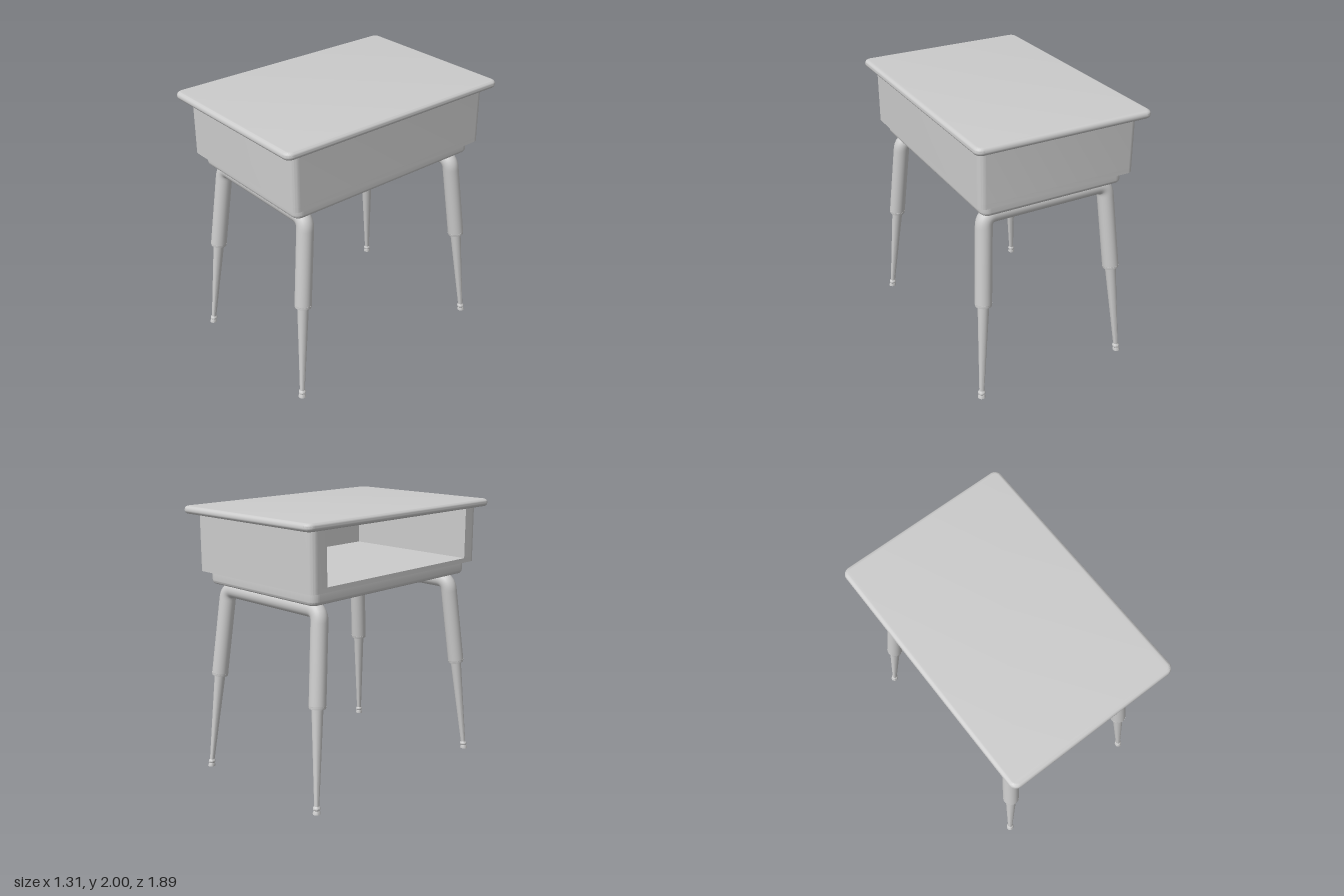
import * as THREE from 'three';
import { toCreasedNormals } from 'three/addons/utils/BufferGeometryUtils.js';

const material = new THREE.MeshStandardMaterial({ color: 0xcccccc });

function addMesh(parent, name, geometry) {
  const mesh = new THREE.Mesh(geometry, material);
  mesh.name = name;
  parent.add(mesh);
  return mesh;
}

// Rounded rectangle with half sizes w, d and corner radius r
function roundedRect(w, d, r, Type = THREE.Shape) {
  const s = new Type();
  s.absarc(w - r, d - r, r, 0, Math.PI / 2);
  s.absarc(-w + r, d - r, r, Math.PI / 2, Math.PI);
  s.absarc(-w + r, -d + r, r, Math.PI, Math.PI * 1.5);
  s.absarc(w - r, -d + r, r, Math.PI * 1.5, Math.PI * 2);
  s.closePath();
  return s;
}

// Extrude a plan shape upward from y0 to y1, with an optional rounded edge
function slab(shape, y0, y1, bevel = 0) {
  const g = new THREE.ExtrudeGeometry(shape, {
    depth: y1 - y0 - 2 * bevel,
    curveSegments: 8,
    bevelEnabled: bevel > 0,
    bevelThickness: bevel,
    bevelSize: bevel,
    bevelOffset: -bevel,
    bevelSegments: 6,
  });
  g.rotateX(-Math.PI / 2).translate(0, y0 + bevel, 0);
  return toCreasedNormals(g, 0.6);
}

export function createModel() {
  const desk = new THREE.Group();
  desk.name = 'schoolDesk';

  addMesh(desk, 'deskTop', slab(roundedRect(0.655, 0.943, 0.055), 1.945, 2, 0.027));

  // Storage box: floor plus U-shaped wall, open on the -x side
  const box = new THREE.Group();
  box.name = 'storageBox';
  desk.add(box);
  const W = 0.593, D = 0.857, R = 0.05, openZ = 0.725, backX = 0.5;
  addMesh(box, 'boxFloor', slab(roundedRect(W, D, R), 1.53, 1.565));
  const wall = new THREE.Shape();
  wall.absarc(W - R, D - R, R, 0, Math.PI / 2);
  wall.absarc(-W + R, D - R, R, Math.PI / 2, Math.PI);
  wall.lineTo(-W, openZ);
  wall.lineTo(backX, openZ);
  wall.lineTo(backX, -openZ);
  wall.lineTo(-W, -openZ);
  wall.absarc(-W + R, -D + R, R, Math.PI, Math.PI * 1.5);
  wall.absarc(W - R, -D + R, R, Math.PI * 1.5, Math.PI * 2);
  wall.closePath();
  addMesh(box, 'boxWall', slab(wall, 1.565, 1.95));

  // Rectangular support rail under the box
  const rail = roundedRect(0.545, 0.805, 0.06);
  rail.holes.push(roundedRect(0.435, 0.695, 0.035, THREE.Path));
  addMesh(desk, 'supportRail', slab(rail, 1.435, 1.555, 0.03));

  // Tapered lower leg with a flared glide: radius, height
  const profile = [
    [0, 0], [0.027, 0], [0.027, 0.008], [0.02, 0.026], [0.026, 0.034],
    [0.026, 0.044], [0.018, 0.056], [0.041, 0.74], [0, 0.74],
  ].map(([r, y]) => new THREE.Vector2(r, y));

  for (const end of [1, -1]) {
    const legs = new THREE.Group();
    legs.name = end > 0 ? 'frontLegs' : 'backLegs';
    desk.add(legs);

    // Bent tube: sleeve, bend, cross bar, bend, sleeve
    const p = (x, y, z) => new THREE.Vector3(x, y, z * end);
    const path = new THREE.CurvePath();
    const corner = [p(0.484, 1.31, 0.692), p(0.479, 1.388, 0.683), p(0.4, 1.388, 0.683)];
    const mirrored = corner.map((v) => new THREE.Vector3(-v.x, v.y, v.z)).reverse();
    const foot = [p(0.525, 0.74, 0.755), p(-0.525, 0.74, 0.755)];
    path.add(new THREE.LineCurve3(foot[0], corner[0]));
    path.add(new THREE.QuadraticBezierCurve3(...corner));
    path.add(new THREE.LineCurve3(corner[2], mirrored[0]));
    path.add(new THREE.QuadraticBezierCurve3(...mirrored));
    path.add(new THREE.LineCurve3(mirrored[2], foot[1]));
    addMesh(legs, 'legFrame', new THREE.TubeGeometry(path, 120, 0.06, 24));

    for (const side of [1, -1]) {
      // Collar closing the sleeve end
      const collar = addMesh(legs, 'sleeveCollar', new THREE.CylinderGeometry(0.061, 0.058, 0.02, 24));
      collar.position.set(0.525 * side, 0.74, 0.755 * end);
      const axis = new THREE.Vector3(-0.041 * side, 0.57, -0.063 * end).normalize();
      collar.quaternion.setFromUnitVectors(new THREE.Vector3(0, 1, 0), axis);

      // Slanted so that the glide stays level on the floor
      const g = toCreasedNormals(new THREE.LatheGeometry(profile, 24), 0.6);
      const slant = new THREE.Matrix4().set(
        1, -0.078 * side, 0, 0.582 * side,
        0, 1, 0, 0,
        0, -0.095 * end, 1, 0.825 * end,
        0, 0, 0, 1);
      addMesh(legs, 'lowerLeg', g.applyMatrix4(slant));
    }
  }
  return desk;
}
